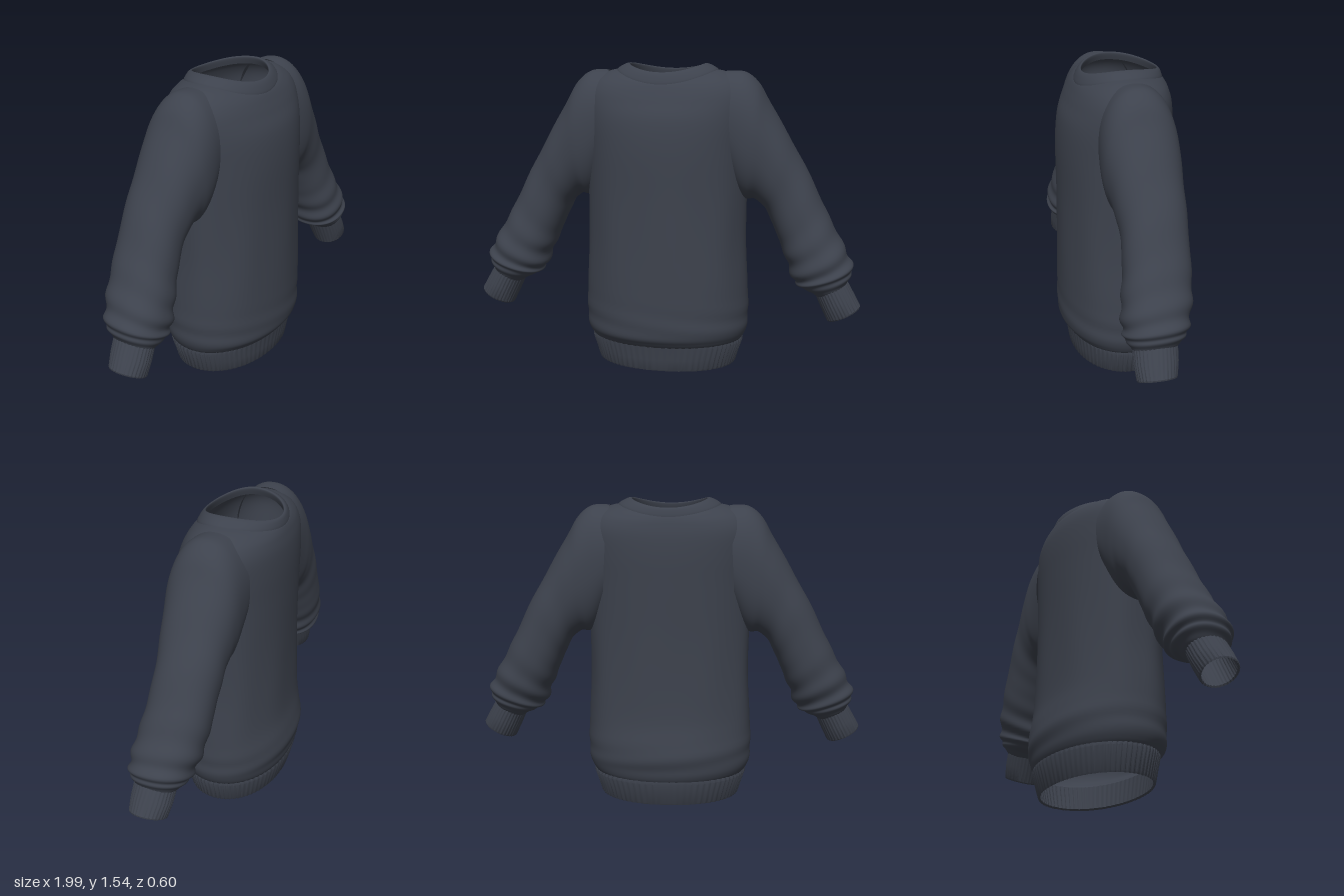
import * as THREE from 'three';
import { toCreasedNormals } from 'three/addons/utils/BufferGeometryUtils.js';

const knit = new THREE.MeshStandardMaterial({ color: 0x3d424d, side: THREE.DoubleSide });
knit.name = 'slate knit';

// Catmull-Rom interpolation of every number in a list of stations
function refine(stations, steps) {
  const out = [], n = stations.length - 1;
  for (let i = 0; i < n; i++) {
    const p = [-1, 0, 1, 2].map(k => stations[Math.min(n, Math.max(0, i + k))]);
    for (let k = 0; k < steps; k++) {
      const t = k / steps;
      out.push(p[1].map((b, c) => {
        const a = p[0][c], d = p[2][c], e = p[3][c];
        return b + 0.5 * t * (d - a + t * (2 * a - 5 * b + 4 * d - e + t * (3 * (b - d) + e - a)));
      }));
    }
  }
  out.push(stations[n]);
  return out;
}

// Closed rings joined into a skin; place(ring, angle, v) gives each point
function loft(name, rings, sides, place, crease = 0) {
  const pos = [], index = [];
  rings.forEach((ring, j) => {
    for (let i = 0; i < sides; i++) pos.push(...place(ring, i / sides * Math.PI * 2, j / (rings.length - 1)));
  });
  for (let j = 0; j < rings.length - 1; j++) {
    for (let i = 0; i < sides; i++) {
      const a = j * sides + i, b = j * sides + (i + 1) % sides;
      index.push(a, a + sides, b, b, a + sides, b + sides);
    }
  }
  let geo = new THREE.BufferGeometry();
  geo.setAttribute('position', new THREE.Float32BufferAttribute(pos, 3));
  geo.setIndex(index);
  if (crease) geo = toCreasedNormals(geo, crease);
  else geo.computeVertexNormals();
  const mesh = new THREE.Mesh(geo, knit);
  mesh.name = name;
  return mesh;
}

const power = (v, e) => Math.sign(v) * Math.abs(v) ** (2 / e);
const bump = (v, at, width) => Math.exp(-(((v - at) / width) ** 2));
const rib = (angle, count, depth) => 1 + depth * Math.sign(Math.sin(angle * count + 0.01));

// Torso ring: [side y, front y, back y, half width, front z, back z, exponent]
function torsoPoint([ySide, yFront, yBack, w, zf, zb, e], t) {
  const c = Math.cos(t), s = Math.sin(t);
  const y = ySide + ((s > 0 ? yFront : yBack) - ySide) * s * s;
  // soft drape folds that fade towards the chest
  const drape = 0.008 * Math.sin(t * 9 + 1) * bump(y, 0.65, 0.3) + 0.008 * Math.sin(y * 55 + 3 * c) * bump(y, 0.24, 0.09);
  const k = 1 + drape;
  return [w * power(c, e) * k, y, (s > 0 ? zf : zb) * power(s, e) * k];
}

// Sleeve ring: [outer x, outer y, inner x, inner y, front z, back z]
function sleevePoint(side, ring, t, scale = 1, e = 2.2) {
  const [tx, ty, bx, by, zf, zb] = ring;
  const c = power(Math.cos(t), e) * scale, s = -side * power(Math.sin(t), e) * scale;
  return [
    side * ((tx + bx) / 2 + c * (tx - bx) / 2),
    (ty + by) / 2 + c * (ty - by) / 2,
    (zf + zb) / 2 + s * (zf - zb) / 2,
  ];
}

const level = (y, w, zf, zb, e) => [y, y, y, w, zf, zb, e];

const torso = [
  level(0.125, 0.385, 0.255, 0.262, 2.1),
  level(0.15, 0.405, 0.275, 0.275, 2.1),
  level(0.19, 0.418, 0.298, 0.285, 2.1),
  level(0.28, 0.425, 0.3, 0.297, 2.1),
  level(0.44, 0.418, 0.298, 0.268, 2.15),
  level(0.65, 0.407, 0.295, 0.258, 2.15),
  level(0.88, 0.408, 0.293, 0.256, 2.1),
  level(1.12, 0.41, 0.293, 0.26, 2.1),
  level(1.27, 0.42, 0.278, 0.262, 2.1),
  [1.39, 1.36, 1.37, 0.42, 0.245, 0.256, 2.1],
  [1.46, 1.41, 1.43, 0.38, 0.222, 0.243, 2.1],
  [1.5, 1.44, 1.46, 0.31, 0.206, 0.232, 2.05],
  [1.515, 1.455, 1.475, 0.25, 0.194, 0.222, 2],
];

const collar = [
  [1.51, 1.445, 1.467, 0.258, 0.2, 0.228, 2],
  [1.521, 1.458, 1.48, 0.25, 0.198, 0.226, 2],
  [1.538, 1.488, 1.503, 0.22, 0.184, 0.218, 2],
  [1.545, 1.505, 1.51, 0.195, 0.169, 0.208, 2],
  [1.535, 1.497, 1.502, 0.19, 0.164, 0.204, 2],
  [1.505, 1.46, 1.47, 0.2, 0.175, 0.21, 2],
];

// The hem folds over at the bottom and runs back up inside
const hem = [
  level(0.135, 0.395, 0.26, 0.27, 2.1),
  level(0.12, 0.397, 0.258, 0.272, 2.1),
  level(0.06, 0.377, 0.249, 0.256, 2.1),
  level(0.008, 0.362, 0.242, 0.242, 2.1),
  level(0, 0.357, 0.238, 0.238, 2.1),
  level(0.008, 0.35, 0.231, 0.231, 2.1),
  level(0.13, 0.378, 0.246, 0.255, 2.1),
];

const sleeve = [
  [0.3, 1.508, 0.33, 0.98, 0.17, -0.19],
  [0.39, 1.505, 0.37, 0.9, 0.18, -0.19],
  [0.46, 1.452, 0.41, 0.868, 0.18, -0.19],
  [0.52, 1.35, 0.45, 0.87, 0.17, -0.185],
  [0.62, 1.18, 0.495, 0.835, 0.153, -0.175],
  [0.72, 1.0, 0.535, 0.765, 0.145, -0.168],
  [0.81, 0.82, 0.575, 0.67, 0.157, -0.16],
  [0.89, 0.67, 0.62, 0.565, 0.18, -0.145],
  [0.945, 0.565, 0.655, 0.475, 0.187, -0.118],
  [0.945, 0.51, 0.69, 0.44, 0.182, -0.098],
  [0.925, 0.465, 0.745, 0.415, 0.16, -0.065],
  [0.92, 0.45, 0.775, 0.395, 0.145, -0.045],
];

const cuff = [
  [0.925, 0.475, 0.765, 0.415, 0.153, -0.055],
  [0.962, 0.41, 0.8, 0.338, 0.156, -0.048],
  [0.994, 0.352, 0.832, 0.272, 0.152, -0.034],
  [0.993, 0.344, 0.839, 0.268, 0.148, -0.03],
  [0.984, 0.348, 0.842, 0.276, 0.141, -0.023],
  [0.92, 0.462, 0.778, 0.402, 0.142, -0.044],
];

export function createModel() {
  const group = new THREE.Group();
  group.name = 'sweater';

  group.add(loft('torso', refine(torso, 6), 96, torsoPoint));
  group.add(loft('collar', refine(collar, 3), 72, torsoPoint));

  // Ribbed hem, listed top to bottom so its angle runs backwards
  group.add(loft('ribbedHem', hem, 288, (ring, t) => {
    const [x, y, z] = torsoPoint(ring, -t), k = rib(t, 72, 0.005);
    return [x * k, y, z * k];
  }, 0.5));

  for (const side of [1, -1]) {
    const arm = new THREE.Group();
    arm.name = side > 0 ? 'leftSleeve' : 'rightSleeve';

    // Sleeve with folds gathering above the cuff
    arm.add(loft('sleeveTube', refine(sleeve, 9), 64, (ring, t, v) => {
      const front = Math.sin(t) * side;
      const folds = 0.05 * bump(v, 0.72, 0.13) * Math.sin(v * 68 + 1.6 * Math.cos(t) + front)
        + 0.012 * bump(v, 0.42, 0.12) * Math.sin(v * 45 + 2 * front);
      return sleevePoint(side, ring, t, 1 + folds);
    }));

    arm.add(loft('ribbedCuff', cuff, 128,
      (ring, t) => sleevePoint(side, ring, t, rib(t, 32, 0.012), 2), 0.5));
    group.add(arm);
  }
  return group;
}
